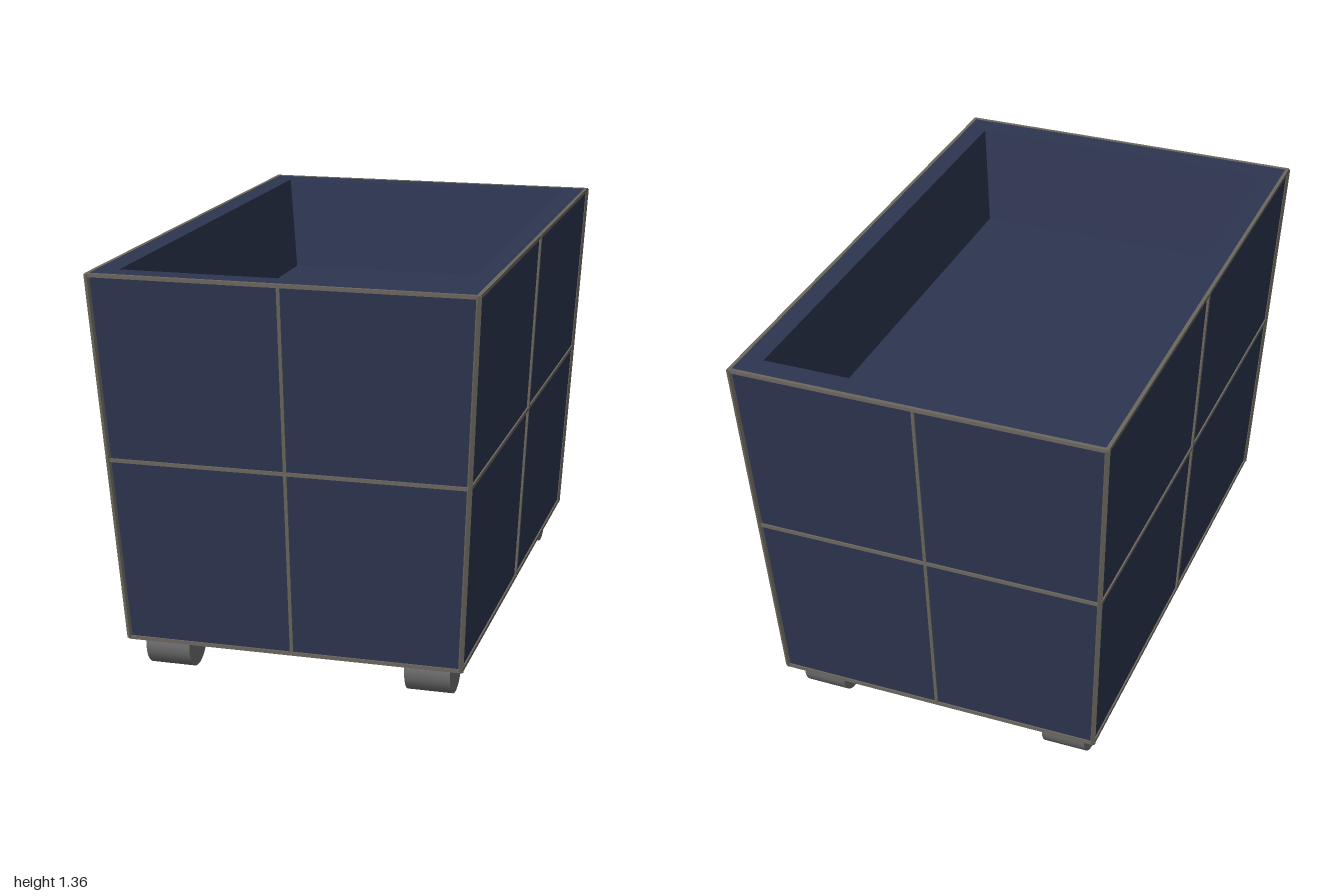
import * as THREE from 'three';

const Y0 = 0.125, Y1 = 1.357, MID = 0.745;

// Half width, half depth of the tapered outer shell at height y
function shell(y) {
  const t = (y - Y0) / (Y1 - Y0);
  return [0.555 + 0.062 * t, 0.887 + 0.105 * t];
}

function ring(hx, hz, y) {
  return [[-hx, hz], [hx, hz], [hx, -hz], [-hx, -hz]].map(([x, z]) => new THREE.Vector3(x, y, z));
}

// Lofts rectangular rings into flat faces, closing both ends
function loft(rings) {
  const pts = [];
  const quad = (a, b, c, d) => [a, b, c, a, c, d].forEach((p) => pts.push(p));
  for (let r = 0; r < rings.length - 1; r++) {
    for (let i = 0; i < 4; i++) {
      const j = (i + 1) % 4;
      quad(rings[r][i], rings[r][j], rings[r + 1][j], rings[r + 1][i]);
    }
  }
  quad(...rings[0].slice().reverse());
  quad(...rings[rings.length - 1]);
  const g = new THREE.BufferGeometry().setFromPoints(pts);
  g.computeVertexNormals();
  return g;
}

export function createModel() {
  const model = new THREE.Group();
  const navy = new THREE.MeshStandardMaterial({ color: 0x2d3550 });
  navy.name = 'navyPanel';
  const trimMat = new THREE.MeshStandardMaterial({ color: 0x6b675e });
  trimMat.name = 'greyTrim';
  const wheelMat = new THREE.MeshStandardMaterial({ color: 0x707070 });
  wheelMat.name = 'greyWheel';

  // Tapered bin with a thick rim and a recessed tray
  const bin = new THREE.Mesh(loft([
    ring(...shell(Y0), Y0),
    ring(...shell(Y1), Y1),
    ring(0.543, 0.905, Y1),
    ring(0.495, 0.825, 1.03),
  ]), navy);
  bin.name = 'bin';
  model.add(bin);

  // Slim trim bars along the edges and panel seams
  const trim = new THREE.Group();
  trim.name = 'trim';
  model.add(trim);
  function bar(name, a, b, w = 0.012) {
    const g = new THREE.BoxGeometry(w, w, a.distanceTo(b) + w * 0.5);
    const m = new THREE.Mesh(g, trimMat);
    m.position.copy(a).add(b).multiplyScalar(0.5);
    m.lookAt(b);
    m.name = name;
    trim.add(m);
  }
  const low = ring(...shell(Y0), Y0);
  const high = ring(...shell(Y1 - 0.004), Y1 - 0.004);
  const mid = ring(...shell(MID), MID);
  const half = (r, i) => r[i].clone().lerp(r[(i + 1) % 4], 0.5);
  for (let i = 0; i < 4; i++) {
    const j = (i + 1) % 4;
    bar('cornerTrim', low[i], high[i], 0.014);
    bar('bottomTrim', low[i], low[j]);
    bar('middleTrim', mid[i], mid[j]);
    bar('rimTrim', high[i], high[j]);
    bar('seamTrim', half(low, i), half(high, i), i % 2 ? 0.015 : 0.011);
  }
  bar('undersideTrim', half(low, 0), half(low, 2));
  bar('undersideTrim', half(low, 1), half(low, 3));

  // Four roller wheels
  const roller = new THREE.CylinderGeometry(0.088, 0.088, 0.15, 32).rotateZ(Math.PI / 2);
  for (const x of [-0.438, 0.438]) {
    for (const z of [-0.765, 0.765]) {
      const wheel = new THREE.Mesh(roller, wheelMat);
      wheel.name = (z > 0 ? 'front' : 'back') + (x > 0 ? 'Left' : 'Right') + 'Wheel';
      wheel.position.set(x, 0.088, z);
      model.add(wheel);
    }
  }
  return model;
}
